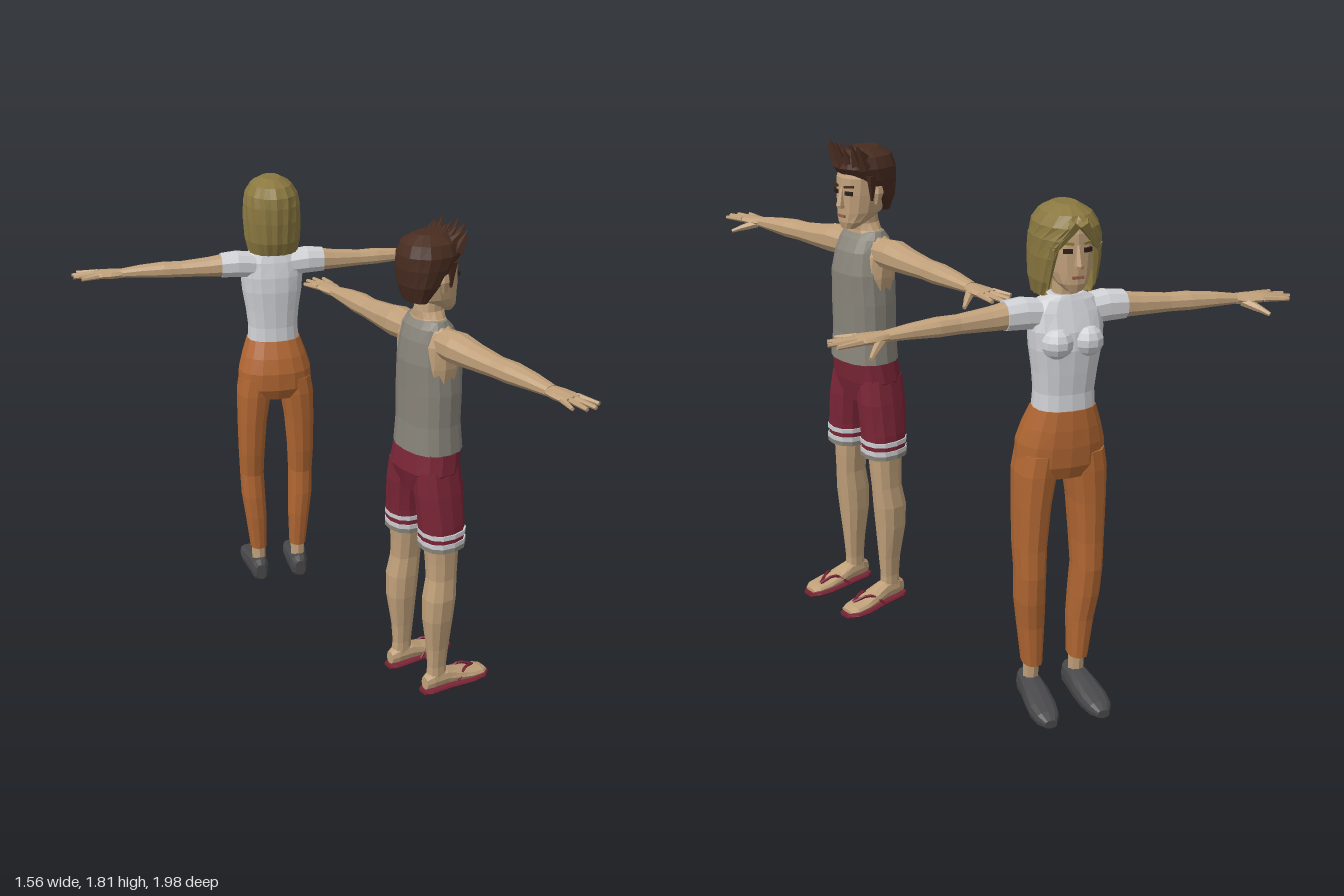
import * as THREE from 'three';

const V = (a) => new THREE.Vector3(...a);

// Faceted look: every face gets its own normal
function flat(geo) {
  const g = geo.index ? geo.toNonIndexed() : geo;
  g.deleteAttribute('uv');
  g.computeVertexNormals();
  return g;
}

// Skin elliptical rings along an axis. Row: [t, u, v, ru, rv, opening half-angle].
// Axis y: u = x, v = z.  Axis x: u = z, v = y.  Axis z: u = y, v = x.
function loft(axis, rows, n = 12, power = 0.85, ripple = 0) {
  const place = { y: (t, u, v) => [u, t, v], x: (t, u, v) => [t, v, u], z: (t, u, v) => [v, u, t] }[axis];
  const bulge = (c) => Math.sign(c) * Math.abs(c) ** power;
  const pos = [], idx = [], w = n + 1, last = rows.length - 1;
  for (const [t, u, v, ru, rv, open = 0] of rows) {
    for (let j = 0; j <= n; j++) {
      const a = Math.PI / 2 + open + (2 * Math.PI - 2 * open) * j / n;
      const k = 1 + (j % 2 ? ripple : 0);
      pos.push(...place(t, u + ru * k * bulge(Math.cos(a)), v + rv * k * bulge(Math.sin(a))));
    }
  }
  const lo = pos.length / 3, hi = lo + 1;
  for (const r of [rows[0], rows[last]]) pos.push(...place(r[0], r[1], r[2]));
  for (let j = 0; j < n; j++) {
    for (let i = 0; i < last; i++) {
      const a = i * w + j, b = a + w;
      idx.push(a, b, a + 1, b, b + 1, a + 1);
    }
    idx.push(lo, j, j + 1, hi, last * w + j + 1, last * w + j);
  }
  const g = new THREE.BufferGeometry();
  g.setAttribute('position', new THREE.Float32BufferAttribute(pos, 3));
  g.setIndex(idx);
  return flat(g);
}

// Tapered rod between two points
function rod(a, b, r0, r1, sides = 6) {
  const p = V(a), q = V(b), d = q.clone().sub(p);
  const g = new THREE.CylinderGeometry(r1, r0, d.length(), sides);
  g.applyQuaternion(new THREE.Quaternion().setFromUnitVectors(V([0, 1, 0]), d.normalize()));
  return flat(g.translate(...p.add(q).multiplyScalar(0.5).toArray()));
}

function plate(w, h, x, y, z, turn = 0, roll = 0) {
  return flat(new THREE.BoxGeometry(w, h, 0.008).rotateZ(roll).rotateY(turn).translate(x, y, z));
}

// Copy to the other side, keeping faces outward
function mirrored(geo) {
  const g = geo.clone().scale(-1, 1, 1), p = g.attributes.position, a = new THREE.Vector3(), b = new THREE.Vector3();
  for (let i = 0; i < p.count; i += 3) {
    a.fromBufferAttribute(p, i + 1); b.fromBufferAttribute(p, i + 2);
    p.setXYZ(i + 1, b.x, b.y, b.z); p.setXYZ(i + 2, a.x, a.y, a.z);
  }
  g.computeVertexNormals();
  return g;
}

export function createModel() {
  const colours = {
    skin: 0xc0a07a, whiteCloth: 0xcfd0d4, greyCloth: 0x88847a, redCloth: 0x7a2536, orangeCloth: 0xb06632,
    blondHair: 0x8a7840, brownHair: 0x482c20, shoeGrey: 0x48484a, darkDetail: 0x2a1e1a, lips: 0x96604e,
  };
  const m = {};
  for (const [name, color] of Object.entries(colours)) m[name] = Object.assign(new THREE.MeshStandardMaterial({ color }), { name });
  m.blondHair.side = THREE.DoubleSide;

  function person(name, x, z, turn) {
    const group = new THREE.Group();
    group.name = name;
    group.position.set(x, 0, z);
    group.rotation.y = turn;
    const add = (part, geo, mat) => {
      const mesh = new THREE.Mesh(geo, mat);
      mesh.name = part;
      group.add(mesh);
    };
    const pair = (part, geo, mat) => {
      add('left' + part, geo, mat);
      add('right' + part, mirrored(geo), mat);
    };
    return { group, add, pair };
  }

  // Bare arm with palm, four fingers and thumb; k scales thickness
  function arms(p, k) {
    p.pair('Arm', loft('x', [
      [0.09, 0, 1.41, 0.05 * k, 0.05 * k], [0.17, 0, 1.412, 0.058 * k, 0.054 * k], [0.25, 0.005, 1.406, 0.049 * k, 0.045 * k],
      [0.36, 0.012, 1.402, 0.04 * k, 0.036 * k], [0.43, 0.018, 1.402, 0.043 * k, 0.036 * k], [0.52, 0.025, 1.4, 0.036 * k, 0.028 * k],
      [0.605, 0.03, 1.395, 0.026 * k, 0.019 * k],
    ], 10), m.skin);
    p.pair('Palm', loft('x', [
      [0.595, 0.03, 1.395, 0.026, 0.017], [0.635, 0.034, 1.394, 0.037, 0.017], [0.675, 0.036, 1.395, 0.042, 0.014], [0.7, 0.036, 1.396, 0.038, 0.01],
    ], 8), m.skin);
    [[0.004, -0.014, 0.752], [0.026, 0.02, 0.782], [0.047, 0.053, 0.788], [0.067, 0.085, 0.768]].forEach(([z0, z1, tip], i) =>
      p.pair('Finger' + (i + 1), rod([0.685, 1.396, z0], [tip, 1.393, z1], 0.011, 0.007), m.skin));
    p.pair('Thumb', rod([0.62, 1.388, 0.045], [0.655, 1.372, 0.095], 0.017, 0.012), m.skin);
    p.pair('ThumbTip', rod([0.652, 1.374, 0.09], [0.676, 1.36, 0.125], 0.012, 0.007), m.skin);
  }

  // Head with ears and flat facial features
  function head(p, k, brow) {
    p.add('head', loft('y', [
      [1.495, 0, 0.072, 0.028 * k, 0.024], [1.52, 0, 0.05, 0.055 * k, 0.053], [1.555, 0, 0.02, 0.073 * k, 0.083],
      [1.62, 0, 0.008, 0.082 * k, 0.095], [1.68, 0, 0, 0.085 * k, 0.1], [1.72, 0, -0.005, 0.075 * k, 0.09], [1.75, 0, -0.005, 0.04, 0.05],
    ], 14, 0.9), m.skin);
    p.add('nose', loft('y', [[1.572, 0, 0.105, 0.014, 0.017], [1.583, 0, 0.108, 0.014, 0.018], [1.645, 0, 0.098, 0.006, 0.007]], 6), m.skin);
    p.pair('Eye', plate(0.03, 0.014, 0.036 * k, 1.628, 0.097, 0.35), m.darkDetail);
    p.pair('Eyebrow', plate(0.038, 0.008, 0.037 * k, 1.652, 0.097, 0.35, 0.1), brow);
    p.add('mouth', plate(0.038, 0.009, 0, 1.543, 0.104), m.lips);
    p.pair('Ear', loft('y', [[1.585, 0.08 * k, 0.005, 0.008, 0.01], [1.625, 0.088 * k, 0, 0.012, 0.02], [1.65, 0.087 * k, 0, 0.008, 0.016]], 6), m.skin);
  }

  // ---- Man ----
  const man = person('man', 0.22, 0.23, THREE.MathUtils.degToRad(103.5));
  arms(man, 1);
  head(man, 1, m.brownHair);
  man.add('shouldersAndNeck', loft('y', [
    [1.22, 0, 0.005, 0.115, 0.075], [1.32, 0, 0.005, 0.131, 0.085], [1.4, 0, 0, 0.134, 0.075], [1.45, 0, -0.002, 0.118, 0.056],
    [1.485, 0, 0, 0.068, 0.05], [1.51, 0, 0.002, 0.05, 0.052], [1.57, 0, 0.008, 0.047, 0.05],
  ], 14), m.skin);
  man.add('tankTop', loft('y', [
    [0.995, 0, 0.012, 0.135, 0.106], [1.1, 0, 0.01, 0.127, 0.098], [1.22, 0, 0.01, 0.128, 0.1], [1.33, 0, 0.01, 0.12, 0.103],
    [1.41, 0, 0.006, 0.108, 0.09], [1.455, 0, 0, 0.102, 0.07], [1.482, 0, -0.003, 0.088, 0.045],
  ], 16), m.greyCloth);
  man.add('shortsSeat', loft('y', [[0.835, 0, 0.002, 0.095, 0.08], [0.92, 0, 0, 0.142, 0.104], [0.998, 0, 0.01, 0.132, 0.103]], 14), m.redCloth);
  man.pair('ShortsLeg', loft('y', [
    [0.632, 0.1, 0.008, 0.077, 0.082], [0.72, 0.097, 0.006, 0.075, 0.085], [0.84, 0.083, 0.003, 0.071, 0.093], [0.93, 0.07, 0, 0.066, 0.09],
  ], 12), m.redCloth);
  [['Hem', 0.628, 0.645, m.greyCloth], ['LowerStripe', 0.645, 0.662, m.whiteCloth], ['UpperStripe', 0.68, 0.697, m.whiteCloth]].forEach(([part, y0, y1, mat]) =>
    man.pair('Shorts' + part, loft('y', [[y0, 0.1, 0.008, 0.08, 0.086], [y1, 0.099, 0.008, 0.08, 0.087]], 12), mat));
  man.pair('Leg', loft('y', [
    [0.06, 0.11, -0.005, 0.03, 0.042], [0.12, 0.109, -0.005, 0.027, 0.038], [0.2, 0.109, -0.005, 0.033, 0.044], [0.33, 0.112, -0.01, 0.05, 0.058],
    [0.42, 0.113, -0.006, 0.055, 0.062], [0.5, 0.109, 0.004, 0.049, 0.057], [0.57, 0.105, 0.005, 0.053, 0.06], [0.68, 0.1, 0.003, 0.06, 0.066],
  ], 10), m.skin);
  man.pair('Foot', loft('z', [
    [-0.06, 0.055, 0.11, 0.026, 0.02], [-0.03, 0.062, 0.11, 0.036, 0.03], [0.03, 0.062, 0.11, 0.036, 0.035], [0.08, 0.052, 0.112, 0.026, 0.041],
    [0.14, 0.043, 0.116, 0.017, 0.047], [0.19, 0.039, 0.118, 0.013, 0.043], [0.215, 0.036, 0.115, 0.007, 0.028],
  ], 10), m.skin);
  man.pair('SandalSole', loft('z', [
    [-0.07, 0.022, 0.11, 0.008, 0.022], [-0.045, 0.022, 0.11, 0.008, 0.036], [0.04, 0.022, 0.111, 0.008, 0.041], [0.14, 0.022, 0.116, 0.008, 0.053],
    [0.195, 0.022, 0.118, 0.008, 0.047], [0.226, 0.022, 0.115, 0.008, 0.026],
  ], 10, 0.5), m.redCloth);
  [[0.068, 'Inner'], [0.158, 'Outer']].forEach(([x, side]) => {
    const path = new THREE.CatmullRomCurve3([V([0.103, 0.054, 0.175]), V([(x + 0.108) / 2, 0.073, 0.115]), V([x, 0.03, 0.06])]);
    man.pair(side + 'SandalStrap', flat(new THREE.TubeGeometry(path, 6, 0.006, 5)), m.redCloth);
  });
  // Short hair with an upswept spiky fringe
  man.add('hair', loft('y', [
    [1.55, 0, -0.06, 0.06, 0.03], [1.61, 0, -0.045, 0.09, 0.068], [1.67, 0, -0.022, 0.103, 0.1], [1.715, 0, -0.005, 0.107, 0.117],
    [1.755, 0, -0.003, 0.09, 0.105], [1.782, 0, 0, 0.045, 0.06],
  ], 18, 0.95, -0.025), m.brownHair);
  for (let i = 0; i < 7; i++) {
    const x = (i - 3) * 0.026, lift = 0.018 * (i % 2);
    man.add('fringeSpike', rod([x, 1.72, 0.09 - Math.abs(x) * 0.4], [x * 1.15, 1.79 + lift, 0.122 - Math.abs(x) * 0.4], 0.024, 0.002, 5), m.brownHair);
    man.add('crownSpike', rod([x * 0.8, 1.75, 0.045], [x, 1.785 + lift * 0.6, 0.07], 0.022, 0.002, 5), m.brownHair);
  }
  man.pair('Sideburn', loft('y', [[1.6, 0.083, 0.03, 0.003, 0.006], [1.69, 0.087, 0.03, 0.01, 0.025]], 6), m.brownHair);

  // ---- Woman ----
  const woman = person('woman', -0.01, -0.76, THREE.MathUtils.degToRad(170.8));
  arms(woman, 0.86);
  head(woman, 0.94, m.blondHair);
  woman.add('neck', loft('y', [[1.42, 0, 0.005, 0.055, 0.04], [1.475, 0, 0.006, 0.042, 0.04], [1.56, 0, 0.01, 0.038, 0.042]], 10), m.skin);
  woman.add('shirt', loft('y', [
    [1.085, 0, 0.012, 0.105, 0.079], [1.15, 0, 0.012, 0.101, 0.075], [1.22, 0, 0.014, 0.108, 0.08], [1.3, 0, 0.015, 0.121, 0.085],
    [1.36, 0, 0.013, 0.126, 0.08], [1.42, 0, 0.008, 0.122, 0.063], [1.455, 0, 0.008, 0.095, 0.05], [1.472, 0, 0.008, 0.058, 0.043],
  ], 16), m.whiteCloth);
  woman.pair('Bust', flat(new THREE.SphereGeometry(0.054, 10, 7).scale(1, 0.95, 0.9).translate(0.052, 1.325, 0.075)), m.whiteCloth);
  woman.pair('Sleeve', loft('x', [[0.07, 0.002, 1.405, 0.052, 0.05], [0.14, 0, 1.412, 0.055, 0.053], [0.205, 0.002, 1.41, 0.051, 0.048]], 10), m.whiteCloth);
  woman.add('trouserSeat', loft('y', [
    [0.855, 0, -0.008, 0.115, 0.085], [0.9, 0, -0.01, 0.152, 0.104], [0.97, 0, -0.008, 0.148, 0.108], [1.03, 0, 0, 0.131, 0.1], [1.095, 0, 0.012, 0.108, 0.082],
  ], 16), m.orangeCloth);
  woman.pair('TrouserLeg', loft('y', [
    [0.15, 0.085, -0.003, 0.034, 0.047], [0.3, 0.092, -0.005, 0.045, 0.058], [0.4, 0.1, 0.002, 0.05, 0.068], [0.5, 0.103, 0.01, 0.05, 0.069],
    [0.6, 0.103, 0, 0.054, 0.076], [0.75, 0.098, -0.005, 0.061, 0.087], [0.87, 0.088, -0.007, 0.07, 0.095], [0.94, 0.078, -0.007, 0.068, 0.095],
  ], 12), m.orangeCloth);
  woman.pair('Ankle', rod([0.085, 0.07, -0.008], [0.085, 0.19, -0.004], 0.028, 0.03, 8), m.skin);
  woman.pair('Shoe', loft('z', [
    [-0.075, 0.05, 0.085, 0.034, 0.022], [-0.05, 0.05, 0.085, 0.05, 0.036], [0, 0.05, 0.086, 0.05, 0.04], [0.06, 0.044, 0.089, 0.044, 0.047],
    [0.13, 0.035, 0.094, 0.035, 0.05], [0.18, 0.03, 0.096, 0.028, 0.042], [0.21, 0.024, 0.096, 0.015, 0.022],
  ], 12, 0.75), m.shoeGrey);
  // Bob haircut open around the face, with swept fringe locks
  woman.add('hair', loft('y', [
    [1.47, 0, -0.025, 0.094, 0.09, 1], [1.52, 0, -0.02, 0.105, 0.114, 0.85], [1.6, 0, -0.012, 0.109, 0.13, 0.75], [1.66, 0, -0.01, 0.107, 0.132, 0.55],
    [1.7, 0, -0.01, 0.098, 0.126, 0.2], [1.735, 0, -0.01, 0.076, 0.1], [1.76, 0, -0.01, 0.035, 0.05],
  ], 26, 0.95, 0.04), m.blondHair);
  woman.pair('FringeLock', rod([0.012, 1.715, 0.1], [0.075, 1.63, 0.083], 0.022, 0.012, 5), m.blondHair);
  woman.pair('CheekLock', rod([0.072, 1.645, 0.08], [0.079, 1.5, 0.05], 0.017, 0.005, 5), m.blondHair);

  const model = new THREE.Group();
  model.name = 'twoPeople';
  model.add(man.group, woman.group);
  return model;
}
